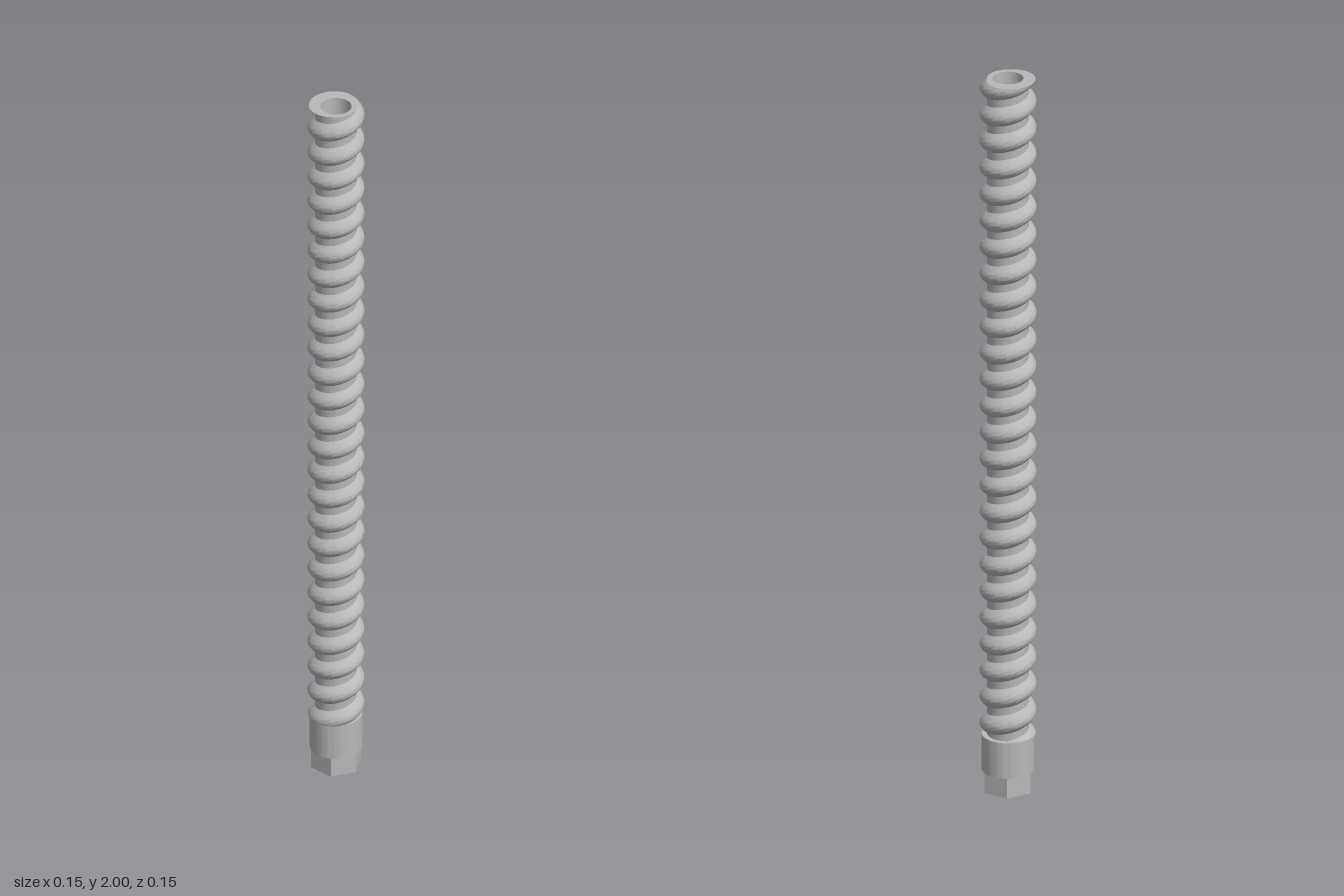
import * as THREE from 'three';
import { toCreasedNormals } from 'three/addons/utils/BufferGeometryUtils.js';

const TOP = 2, COLLAR_TOP = 0.155, HEX_TOP = 0.055;
const BORE = 0.04, ROOT = 0.054, CREST = 0.0735;
const PITCH = 0.0745, HALF_WIDTH = 0.36, START = 0.375; // fractions of one turn
const SEGMENTS = 64;

// Radius of the rounded thread at a turn fraction t and height y
function threadRadius(t, y) {
  let u = (y - TOP) / PITCH - (t - START);
  u -= Math.round(u);
  const k = Math.min(1, Math.abs(u) / HALF_WIDTH);
  return ROOT + (CREST - ROOT) * (1 - k * k);
}

function rodPoint(t, y, r = threadRadius(t, y)) {
  const a = t * Math.PI * 2;
  return new THREE.Vector3(r * Math.cos(a), y, -r * Math.sin(a));
}

function geometryFromTriangles(triangles) {
  const positions = [];
  const ab = new THREE.Vector3(), ac = new THREE.Vector3();
  for (const [a, b, c] of triangles) {
    // skip the collapsed triangles where the thread is cut off
    if (ab.subVectors(b, a).cross(ac.subVectors(c, a)).length() < 1e-10) continue;
    for (const p of [a, b, c]) positions.push(p.x, p.y, p.z);
  }
  const geometry = new THREE.BufferGeometry();
  geometry.setAttribute('position', new THREE.Float32BufferAttribute(positions, 3));
  return toCreasedNormals(geometry, 0.6);
}

// Helical surface: rows follow the thread and are cut flat at both ends
function threadGeometry() {
  const rows = [];
  const arch = 10;
  const turns = Math.ceil((TOP - COLLAR_TOP) / PITCH) + 1;
  for (let n = -turns; n <= 1; n++) {
    for (let i = 0; i <= arch; i++) rows.push(n + HALF_WIDTH * (2 * i / arch - 1));
  }
  const at = (j, row) => {
    const t = j / SEGMENTS;
    const y = TOP + PITCH * (row + t - START);
    return rodPoint(t, THREE.MathUtils.clamp(y, COLLAR_TOP, TOP));
  };
  const triangles = [];
  for (let j = 0; j < SEGMENTS; j++) {
    for (let i = 0; i < rows.length - 1; i++) {
      const a = at(j, rows[i]), b = at(j + 1, rows[i]);
      const c = at(j + 1, rows[i + 1]), d = at(j, rows[i + 1]);
      triangles.push([a, b, c], [a, c, d]);
    }
  }
  return geometryFromTriangles(triangles);
}

// Flat cut face between the bore and the thread outline
function endFaceGeometry() {
  const triangles = [];
  for (let j = 0; j < SEGMENTS; j++) {
    const t = j / SEGMENTS, s = (j + 1) / SEGMENTS;
    const a = rodPoint(t, TOP, BORE), b = rodPoint(t, TOP);
    const c = rodPoint(s, TOP), d = rodPoint(s, TOP, BORE);
    triangles.push([a, b, c], [a, c, d]);
  }
  return geometryFromTriangles(triangles);
}

// Upright extrusion of an outline with the bore through it
function boredPrism(shape, bottom, top) {
  shape.holes.push(new THREE.Path().absarc(0, 0, BORE, 0, Math.PI * 2, true));
  const geometry = new THREE.ExtrudeGeometry(shape, {
    depth: top - bottom, bevelEnabled: false, curveSegments: SEGMENTS / 2,
  });
  geometry.rotateX(-Math.PI / 2).translate(0, bottom, 0);
  return toCreasedNormals(geometry, 0.6);
}

export function createModel() {
  const group = new THREE.Group();
  group.name = 'hollowThreadedRod';
  const steel = new THREE.MeshStandardMaterial({ color: 0xb8b8b8 });
  steel.name = 'steel grey';

  const add = (name, geometry) => {
    const mesh = new THREE.Mesh(geometry, steel);
    mesh.name = name;
    group.add(mesh);
  };

  // Threaded rod
  add('thread', threadGeometry());
  add('rodEndFace', endFaceGeometry());
  add('rodBore', new THREE.LatheGeometry(
    [new THREE.Vector2(BORE, TOP), new THREE.Vector2(BORE, COLLAR_TOP)], SEGMENTS));

  // Round collar
  const round = new THREE.Shape();
  round.absarc(0, 0, 0.068, 0, Math.PI * 2, false);
  add('collar', boredPrism(round, HEX_TOP, COLLAR_TOP));

  // Hexagonal foot with corners to the front and back
  const corners = [];
  for (let i = 0; i < 6; i++) {
    const a = Math.PI / 2 + i * Math.PI / 3;
    corners.push(new THREE.Vector2(0.068 * Math.cos(a), 0.068 * Math.sin(a)));
  }
  add('hexFoot', boredPrism(new THREE.Shape(corners), 0, HEX_TOP));

  return group;
}
